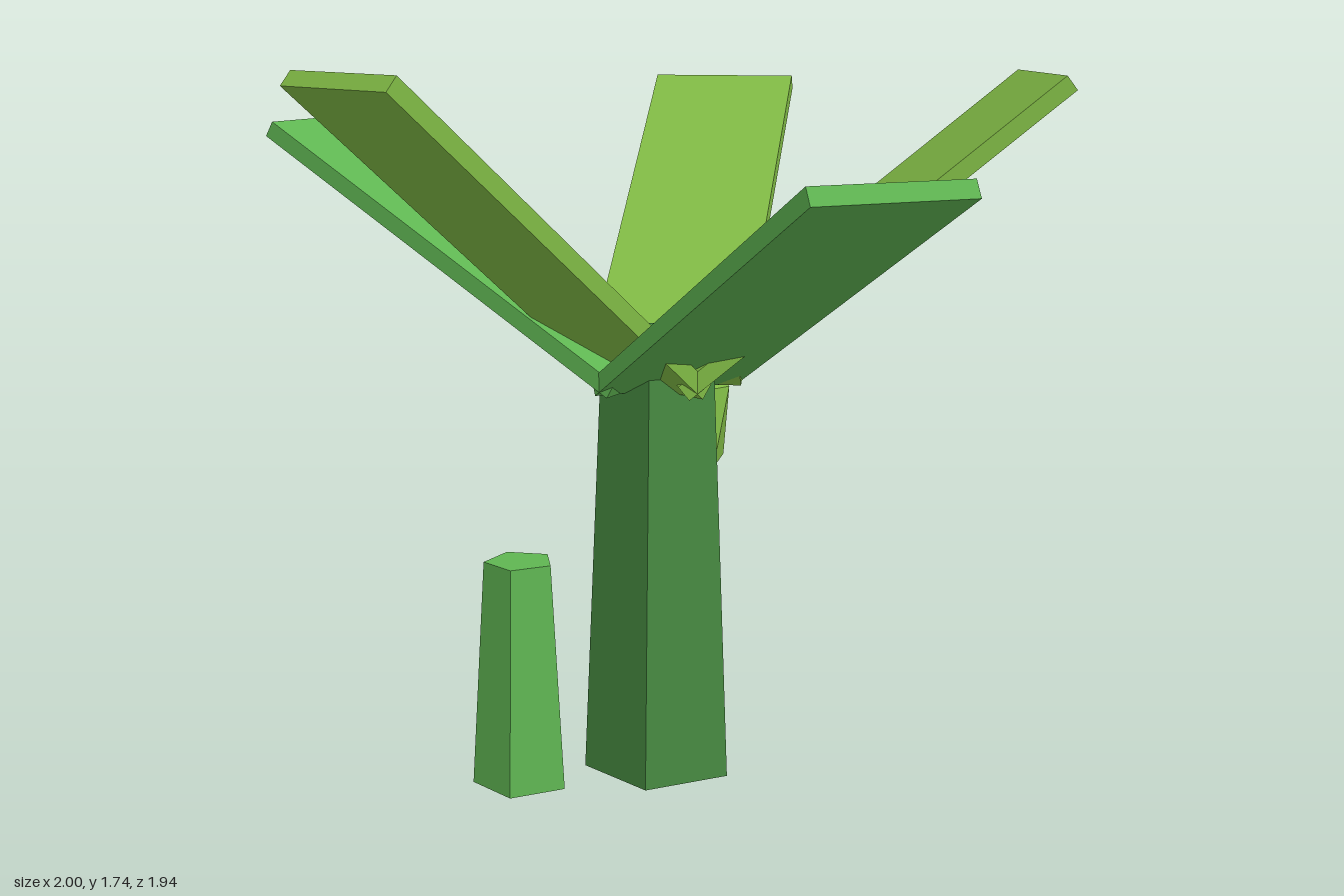
import * as THREE from 'three';

const material = (name, color) => {
  const m = new THREE.MeshStandardMaterial({ color, flatShading: true });
  m.name = name;
  return m;
};

export function createModel() {
  const group = new THREE.Group();
  const bark = material('dark green bark', 0x478a41);
  const green = material('leaf green', 0x5fb552);
  const olive = material('yellow green', 0x80ba45);

  const add = (name, geometry, mat, x, y, z) => {
    const mesh = new THREE.Mesh(geometry, mat);
    mesh.name = name;
    mesh.position.set(x, y, z);
    group.add(mesh);
    return mesh;
  };

  // Five-sided tapering stems
  const stem = (name, mat, top, bottom, height, x, z) =>
    add(name, new THREE.CylinderGeometry(top, bottom, height, 5), mat, x, height / 2, z);
  stem('trunk', bark, 0.142, 0.189, 1.1, 0.04, 0);
  stem('sideStump', green, 0.087, 0.121, 0.56, -0.27, 0.18);

  // Crown of flat leaves: heading and pitch in degrees
  const length = 1.148;
  const leafShape = new THREE.BoxGeometry(0.38, 0.042, length).translate(0, 0, length / 2);
  const leaves = [
    ['backLeaf', olive, 180, 35.7],
    ['backLeftLeaf', olive, 108, 38.2],
    ['frontLeftLeaf', green, 36, 28.2],
    ['frontRightLeaf', olive, -36, 40],
    ['backRightLeaf', green, -108, 30.2],
  ];
  for (const [name, mat, heading, pitch] of leaves) {
    const a = THREE.MathUtils.degToRad(heading);
    const leaf = add(name, leafShape, mat, 0.04 + 0.03 * Math.sin(a), 0.983, 0.03 * Math.cos(a));
    leaf.rotation.set(-THREE.MathUtils.degToRad(pitch), a, 0, 'YXZ');
  }

  // Faceted hanging fruit, one corner up, stretched vertically
  const fruit = new THREE.IcosahedronGeometry(0.153, 0)
    .rotateX(-Math.atan((1 + Math.sqrt(5)) / 2))
    .rotateY(Math.PI / 2)
    .scale(1, 1.41, 1);
  add('fruit', fruit, olive, 0.04, 0.835, -0.203);

  return group;
}
